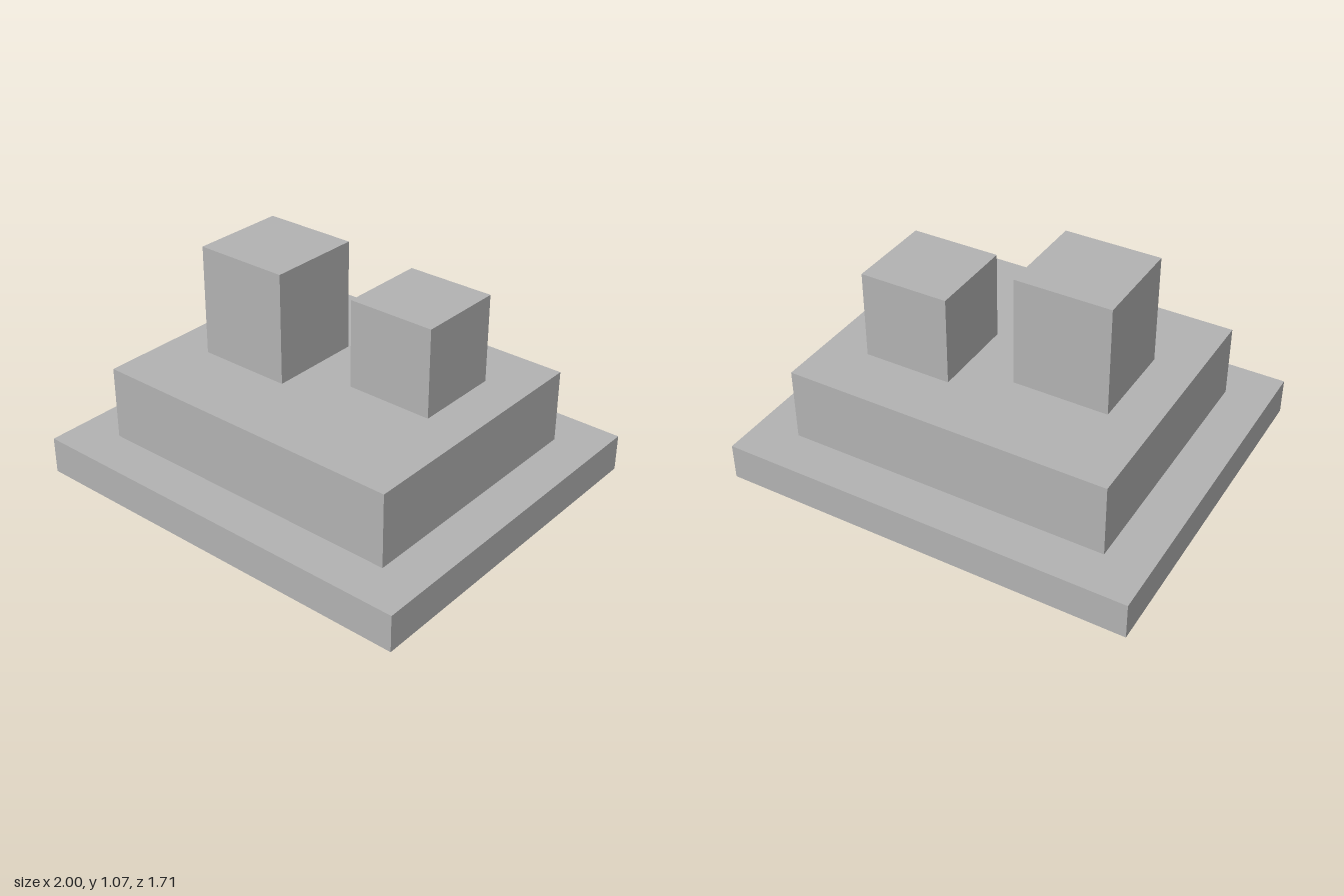
import * as THREE from 'three';

export function createModel() {
  const model = new THREE.Group();
  model.name = 'steppedBlocks';
  const grey = new THREE.MeshStandardMaterial({ color: 0xb2b2b2 });
  grey.name = 'grey';

  // Adds a box given its size, centre in plan, and underside height
  function addBlock(name, width, height, depth, x, bottom, z) {
    const mesh = new THREE.Mesh(new THREE.BoxGeometry(width, height, depth), grey);
    mesh.name = name;
    mesh.position.set(x, bottom + height / 2, z);
    model.add(mesh);
  }

  const baseTop = 0.179;
  const tierTop = 0.536;

  // Stepped plinth
  addBlock('baseSlab', 2, baseTop, 1.714, 0, 0, 0);
  addBlock('upperTier', 1.571, tierTop - baseTop, 1.286, 0, baseTop, 0);

  // Two blocks standing on the tier
  addBlock('tallBlock', 0.464, 0.535, 0.464, -0.339, tierTop, 0.018);
  addBlock('shortBlock', 0.429, 0.428, 0.429, 0.357, tierTop, -0.143);

  return model;
}
